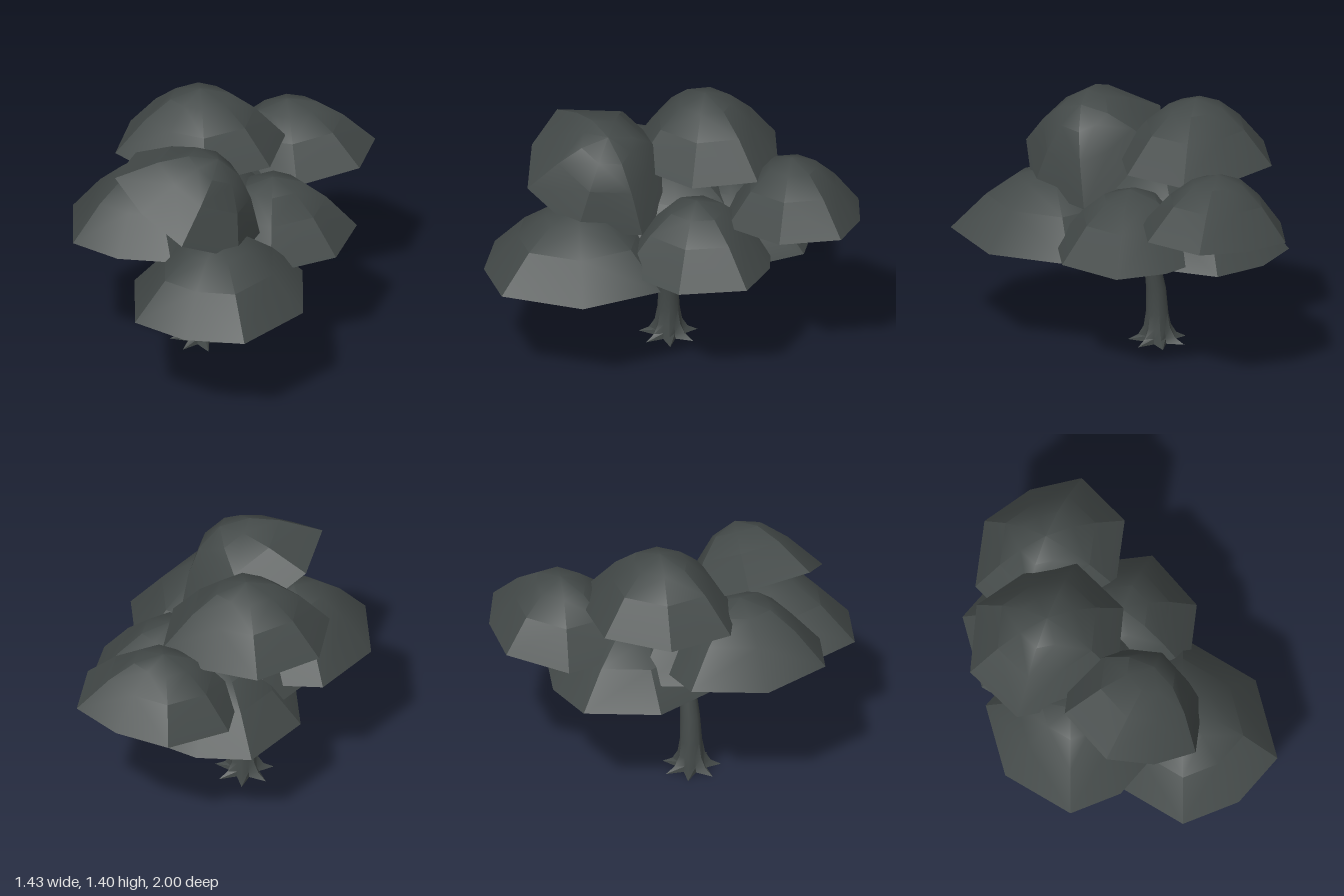
import * as THREE from 'three';
import { toCreasedNormals } from 'three/addons/utils/BufferGeometryUtils.js';

// Octagonal rim outline; even corners face the axes, odd ones the diagonals
const RIM = [[1, 0], [0.65, 0.88], [0, 1.04], [-0.65, 0.88], [-1, 0], [-0.65, -0.88], [0, -1.04], [0.65, -0.88]];
// Dome profile as [radius, height] fractions from the rim up
const PROFILE = [[1, 0], [0.64, 0.55], [0.35, 0.86]];

// Open leaf dome: turned by an angle, then scaled to half-widths sx, sz and height h
function domeGeometry(sx, sz, h, turn) {
  const c = Math.cos(turn), s = Math.sin(turn);
  const pos = [], idx = [];
  for (const [r, y] of PROFILE)
    for (const [x, z] of RIM) pos.push((x * c - z * s) * r * sx, y * h, (x * s + z * c) * r * sz);
  pos.push(0, h, 0);
  const top = pos.length / 3 - 1;
  for (let j = 0; j < 3; j++) {
    for (let i = 0; i < 8; i++) {
      const a = j * 8 + i, b = j * 8 + (i + 1) % 8, d = a + 8, e = b + 8;
      if (j === 2) idx.push(a, top, b);
      else if (i % 2) idx.push(a, e, b, a, d, e);
      else idx.push(a, d, b, b, d, e);
    }
  }
  const g = new THREE.BufferGeometry();
  g.setAttribute('position', new THREE.Float32BufferAttribute(pos, 3));
  g.setIndex(idx);
  return toCreasedNormals(g, 0.6);
}

// Tapered curved limb
function limbGeometry(points, r0, r1) {
  const curve = new THREE.CatmullRomCurve3(points.map(p => new THREE.Vector3(...p)));
  const steps = 8, sides = 7;
  const g = new THREE.TubeGeometry(curve, steps, 1, sides);
  const p = g.attributes.position, v = new THREE.Vector3();
  for (let i = 0; i < p.count; i++) {
    const t = Math.floor(i / (sides + 1)) / steps;
    const centre = curve.getPointAt(t);
    v.fromBufferAttribute(p, i).sub(centre).multiplyScalar(r0 + (r1 - r0) * t).add(centre);
    p.setXYZ(i, v.x, v.y, v.z);
  }
  g.computeVertexNormals();
  return g;
}

// Trunk lofted from rings, flaring into seven pointed roots at the ground
function trunkGeometry() {
  // [centre x, y, root radius, valley radius]
  const rings = [[-0.075, 0, 0.16, 0.075], [-0.075, 0.03, 0.105, 0.07], [-0.074, 0.08, 0.075, 0.064],
    [-0.07, 0.16, 0.061, 0.059], [-0.06, 0.3, 0.053, 0.053], [-0.035, 0.42, 0.045, 0.045],
    [-0.025, 0.5, 0.039, 0.039], [-0.02, 0.6, 0.034, 0.034]];
  const n = 14, pos = [], idx = [];
  for (const [x, y, root, valley] of rings)
    for (let i = 0; i < n; i++) {
      const a = i / n * Math.PI * 2, r = i % 2 ? valley : root;
      pos.push(x + Math.cos(a) * r, y, Math.sin(a) * r);
    }
  for (let j = 0; j < rings.length - 1; j++)
    for (let i = 0; i < n; i++) {
      const a = j * n + i, b = j * n + (i + 1) % n;
      idx.push(a, a + n, b, b, a + n, b + n);
    }
  const g = new THREE.BufferGeometry();
  g.setAttribute('position', new THREE.Float32BufferAttribute(pos, 3));
  g.setIndex(idx);
  return toCreasedNormals(g, 0.7);
}

export function createModel() {
  const model = new THREE.Group();
  model.name = 'tree';
  const slate = new THREE.MeshStandardMaterial({ color: 0x434948, side: THREE.DoubleSide });
  slate.name = 'dark slate';
  const add = (name, geometry) => {
    const mesh = new THREE.Mesh(geometry, slate);
    mesh.name = name;
    model.add(mesh);
    return mesh;
  };

  add('trunk', trunkGeometry());

  // Branches spread from the fork towards each leaf dome
  const branches = {
    frontLeftBranch: [[-0.02, 0.47, 0], [0.07, 0.5, 0.08], [0.14, 0.57, 0.2], [0.2, 0.74, 0.36]],
    leftBranch: [[-0.02, 0.47, 0], [0.08, 0.5, -0.02], [0.15, 0.6, -0.06], [0.24, 0.8, -0.1]],
    rightBranch: [[-0.03, 0.47, 0], [-0.13, 0.51, 0.06], [-0.21, 0.6, 0.13], [-0.26, 0.9, 0.2]],
    backBranch: [[-0.03, 0.47, 0], [-0.05, 0.51, -0.1], [-0.06, 0.6, -0.2], [-0.07, 0.82, -0.28]],
    backLeftBranch: [[0, 0.5, -0.02], [0.06, 0.56, -0.15], [0.12, 0.75, -0.36], [0.18, 1.0, -0.56]],
    upperFrontBranch: [[-0.02, 0.56, 0], [0, 0.7, 0.06], [0.03, 0.88, 0.18], [0.06, 1.12, 0.33]],
    upperBackBranch: [[-0.02, 0.56, 0], [-0.06, 0.75, -0.04], [-0.11, 0.95, -0.12], [-0.14, 1.22, -0.18]],
  };
  for (const [name, points] of Object.entries(branches)) add(name, limbGeometry(points, 0.032, 0.014));

  // Leaf domes: rim centre, half-widths, height, turn, tilt about x and z
  const domes = [
    ['frontLeaves', [0.23, 0.58, 0.5], 0.48, 0.48, 0.36, 0, 0, 0],
    ['rightLeaves', [-0.29, 0.78, 0.2], 0.43, 0.43, 0.347, 0, 0, 0],
    ['backLeaves', [-0.05, 0.62, -0.32], 0.44, 0.433, 0.345, 0, 0, 0],
    ['middleLeaves', [-0.06, 0.73, -0.02], 0.43, 0.42, 0.34, 0, 0, 0],
    ['leftLeaves', [0.29, 0.645, -0.13], 0.43, 0.385, 0.345, 0.32, 0, 0],
    ['backLeftLeaves', [0.2, 0.85, -0.645], 0.44, 0.35, 0.32, 0.28, 0, 0.09],
    ['topLeaves', [-0.15, 1.06, -0.2], 0.45, 0.375, 0.34, 0.26, 0, 0],
    ['upperFrontLeaves', [0, 1.02, 0.37], 0.42, 0.37, 0.34, 0.33, -0.12, -0.5],
  ];
  for (const [name, centre, sx, sz, h, turn, tiltX, tiltZ] of domes) {
    const dome = add(name, domeGeometry(sx, sz, h, turn));
    dome.position.set(...centre);
    dome.rotation.set(tiltX, 0, tiltZ);
  }
  return model;
}
